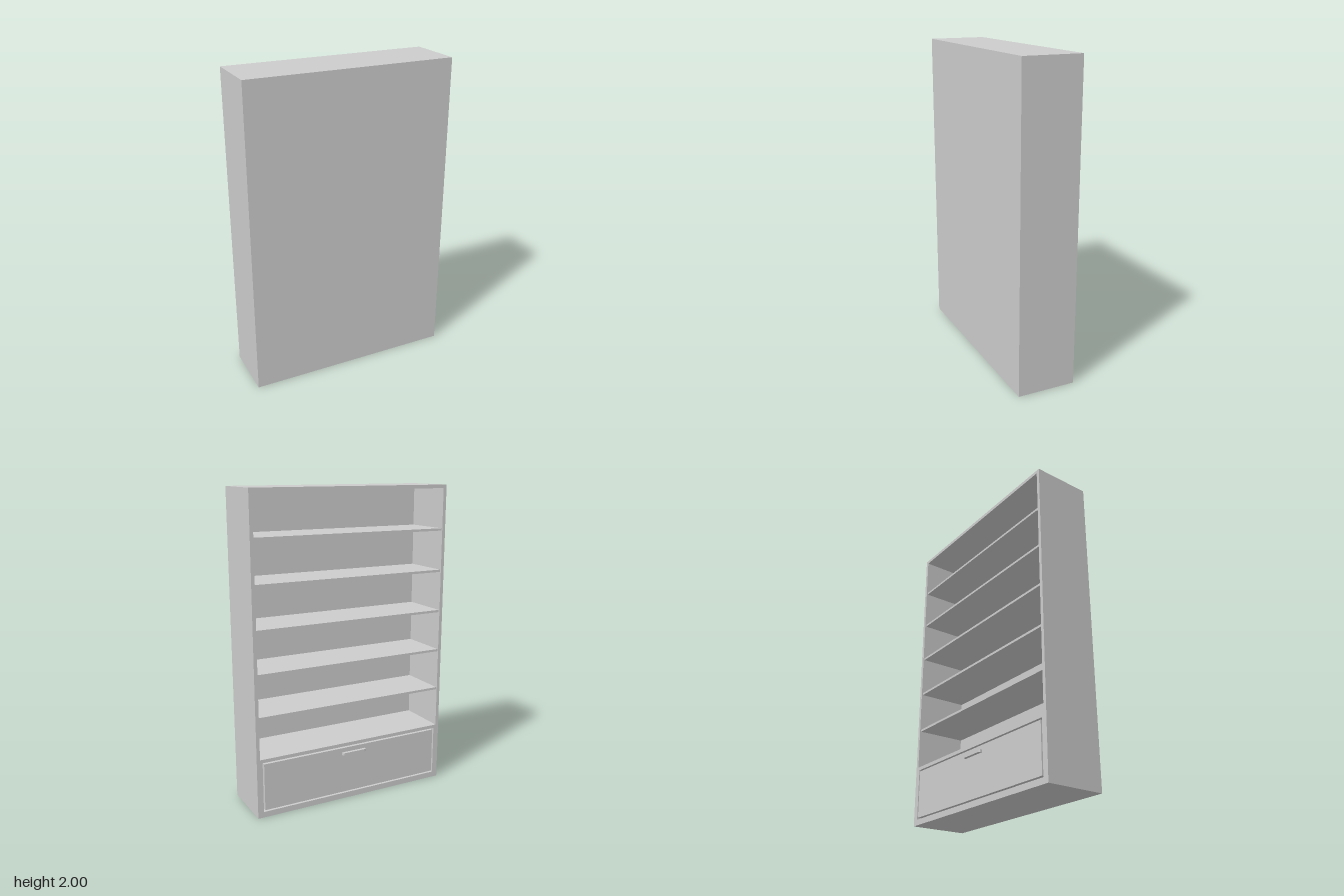
import * as THREE from 'three';

const material = new THREE.MeshStandardMaterial({ color: 0xcccccc, flatShading: true });

// Overall measures
const HALF_W = 0.67, HEIGHT = 2, OPEN_Z = -0.178, WALL_Z = 0.197;
const T = 0.022;              // side and top board thickness
const INNER_Z = 0.154;        // inside face of the rear board
const BASE_TOP = 0.384;       // top of the drawer section
const SHELF_T = 0.015, SHELVES = 5;

// Box given by its lower and upper limits on each axis
function board(name, [x0, x1], [y0, y1], [z0, z1]) {
  const mesh = new THREE.Mesh(new THREE.BoxGeometry(x1 - x0, y1 - y0, z1 - z0), material);
  mesh.position.set((x0 + x1) / 2, (y0 + y1) / 2, (z0 + z1) / 2);
  mesh.name = name;
  return mesh;
}

function rectangle(path, x0, x1, y0, y1) {
  path.moveTo(x0, y0);
  path.lineTo(x1, y0);
  path.lineTo(x1, y1);
  path.lineTo(x0, y1);
  path.closePath();
  return path;
}

// Carcass: one outline with the shelf bay and the drawer bay cut through it
function makeCarcass() {
  const shape = rectangle(new THREE.Shape(), -HALF_W, HALF_W, 0, HEIGHT);
  const inner = HALF_W - T;
  shape.holes.push(rectangle(new THREE.Path(), -inner, inner, BASE_TOP, HEIGHT - T));
  shape.holes.push(rectangle(new THREE.Path(), -0.632, 0.632, 0.037, 0.362));
  const geometry = new THREE.ExtrudeGeometry(shape, { depth: INNER_Z - OPEN_Z, bevelEnabled: false });
  const mesh = new THREE.Mesh(geometry, material);
  mesh.position.z = OPEN_Z;
  mesh.name = 'carcass';
  return mesh;
}

// Drawer pull: flat bar with rounded outer corners
function makeHandle() {
  const w = 0.085, d = 0.02, r = 0.015;
  const shape = new THREE.Shape();
  shape.moveTo(-w, 0);
  shape.lineTo(w, 0);
  shape.lineTo(w, d - r);
  shape.quadraticCurveTo(w, d, w - r, d);
  shape.lineTo(-w + r, d);
  shape.quadraticCurveTo(-w, d, -w, d - r);
  shape.closePath();
  const geometry = new THREE.ExtrudeGeometry(shape, { depth: 0.016, bevelEnabled: false, curveSegments: 5 });
  const mesh = new THREE.Mesh(geometry, material);
  mesh.rotation.x = -Math.PI / 2;
  mesh.position.set(0, 0.307, OPEN_Z);
  mesh.name = 'drawerHandle';
  return mesh;
}

export function createModel() {
  const model = new THREE.Group();
  model.name = 'bookcase';

  model.add(makeCarcass());
  model.add(board('rearBoard', [-HALF_W, HALF_W], [0, HEIGHT], [INNER_Z, WALL_Z]));

  // Evenly spaced shelves, set back slightly from the opening
  const inner = HALF_W - T;
  const pitch = (HEIGHT - T - BASE_TOP + SHELF_T) / (SHELVES + 1);
  for (let i = 1; i <= SHELVES; i++) {
    const top = BASE_TOP + i * pitch;
    model.add(board('shelf' + i, [-inner, inner], [top - SHELF_T, top], [OPEN_Z + 0.008, INNER_Z]));
  }

  // Drawer with a narrow gap all round
  const drawer = new THREE.Group();
  drawer.name = 'drawer';
  drawer.add(board('drawerBox', [-0.622, 0.622], [0.047, 0.352], [OPEN_Z, INNER_Z - 0.01]));
  drawer.add(makeHandle());
  model.add(drawer);

  return model;
}
